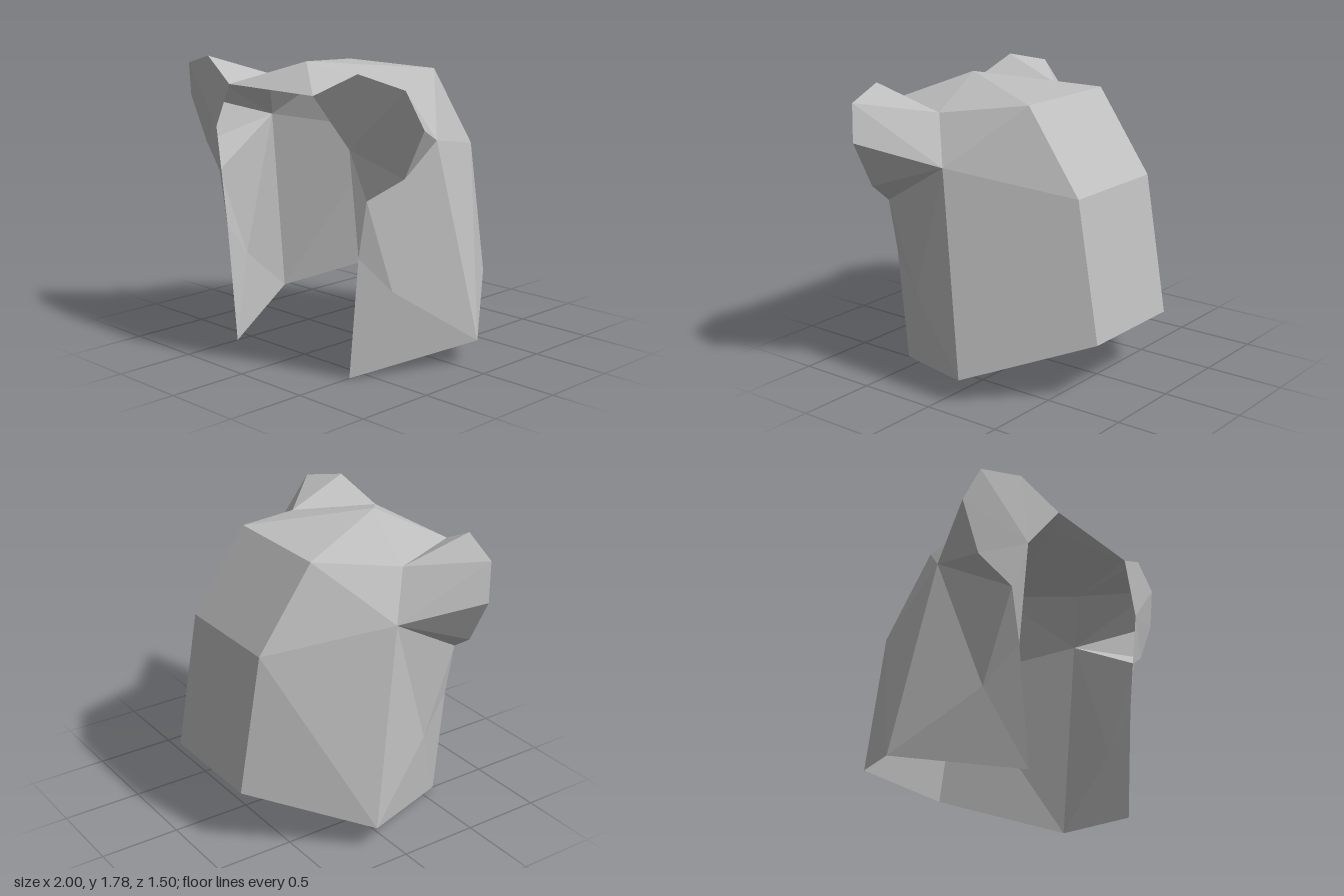
import * as THREE from 'three';

const grey = new THREE.MeshStandardMaterial({ color: 0xbfbfbf, flatShading: true, side: THREE.DoubleSide });
grey.name = 'grey';

// Corner points of the +x half; the other half is mirrored
const P = {
  crest: [0, 1.785, 0.465],
  browIn: [0.36, 1.645, 0.75], browOut: [0.575, 1.36, 0.68], cheek: [0.575, 0.73, 0.61], tip: [0.5, 0, 0.61],
  crownSide: [0.57, 1.645, 0.25], crownBack: [0.36, 1.715, -0.25], nape: [0.36, 1.215, -0.605], hem: [0.36, 0.36, -0.75],
  temple: [0.71, 1.36, 0.11], sideLow: [0.855, 0.145, -0.11], dimple: [0.64, 0.505, 0.4],
  ear1: [0.64, 1.785, 0.68], ear2: [0.925, 1.715, 0.605], ear3: [1, 1.5, 0.535], ear4: [0.855, 1.215, 0.535], ear5: [0.64, 1.07, 0.61],
};

// Each face is a space-separated list of corners (a fan); '-' before a name takes the mirrored point
function panel(name, faces, mirror = false) {
  const positions = [];
  const corner = (key) => {
    const flip = key.startsWith('-') !== mirror;
    const [x, y, z] = P[key.replace('-', '')];
    return [flip ? -x : x, y, z];
  };
  for (const face of faces) {
    const c = face.split(' ').map(corner);
    if (mirror) c.reverse().unshift(c.pop());
    for (let i = 1; i < c.length - 1; i++) positions.push(...c[0], ...c[i], ...c[i + 1]);
  }
  const geometry = new THREE.BufferGeometry();
  geometry.setAttribute('position', new THREE.Float32BufferAttribute(positions, 3));
  geometry.computeVertexNormals();
  const mesh = new THREE.Mesh(geometry, grey);
  mesh.name = name;
  return mesh;
}

export function createModel() {
  const group = new THREE.Group();
  group.name = 'hood';

  // Middle strip: front and top of the crown, then the back
  group.add(panel('crownCentre', ['crest -browIn browIn', 'crest crownBack -crownBack']));
  group.add(panel('back', ['crownBack nape -nape -crownBack', 'nape hem -hem -nape']));

  for (const mirror of [false, true]) {
    const side = mirror ? 'right' : 'left';
    group.add(panel(side + 'Crown', ['crest browIn crownSide', 'crest crownSide crownBack'], mirror));
    // Rear side wall
    group.add(panel(side + 'RearSide', [
      'crownSide temple crownBack', 'crownBack temple nape', 'temple sideLow nape', 'nape sideLow hem',
    ], mirror));
    // Hanging front flap
    group.add(panel(side + 'Flap', [
      'temple dimple sideLow', 'ear5 dimple temple', 'ear5 cheek dimple',
      'cheek tip dimple', 'dimple tip sideLow', 'ear5 browOut cheek',
    ], mirror));
    // Ear: flat front fan and a back that tapers to the temple
    group.add(panel(side + 'EarFront', ['browOut ear5 ear4 ear3 ear2 ear1 browIn'], mirror));
    group.add(panel(side + 'EarBack', [
      'browIn ear1 crownSide', 'ear1 ear2 crownSide', 'ear2 temple crownSide',
      'ear2 ear3 temple', 'ear3 ear4 temple', 'ear4 ear5 temple',
    ], mirror));
  }
  return group;
}
